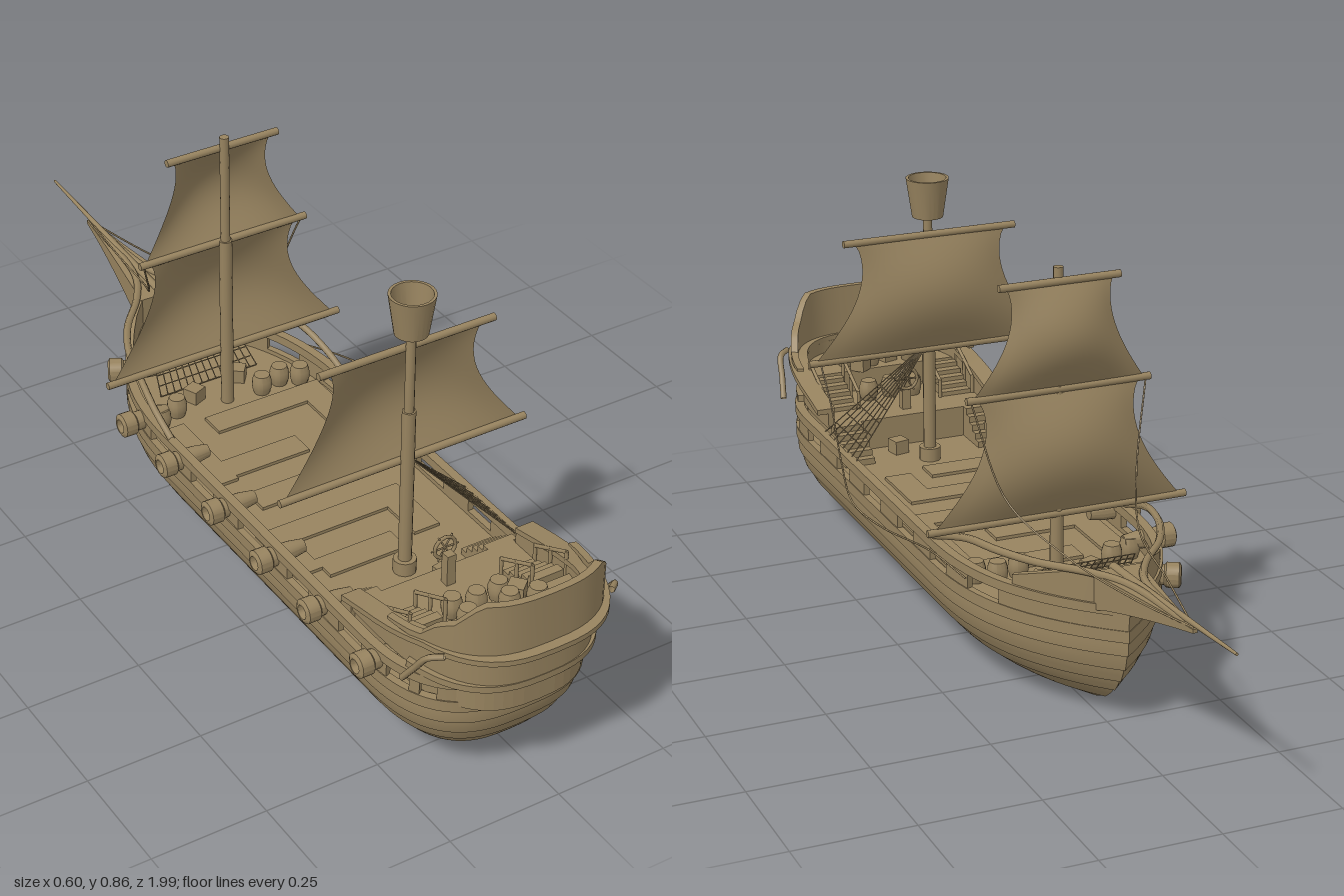
import * as THREE from 'three';
import { toCreasedNormals } from 'three/addons/utils/BufferGeometryUtils.js';

const wood = new THREE.MeshStandardMaterial({ color: 0x97835f, side: THREE.DoubleSide });
wood.name = 'wood';
const V = (x, y, z) => new THREE.Vector3(x, y, z);

// Gun ports along the sides, as z ranges, plus a pair in the rounded stern
const sternZ = w => 0.65 + 0.26 * Math.pow(1 - Math.pow(w / 0.222, 2.8), 1 / 2.8);
const ports = [[-0.33, -0.24], [-0.155, -0.075], [0.02, 0.11], [0.21, 0.31], [0.4, 0.48],
  [0.59, 0.67], [0.75, 0.805], [sternZ(0.192), sternZ(0.172)], [sternZ(0.13), sternZ(0.07)]];

// Stations along the hull, bow to stern
const stations = (() => {
  const s = [...ports.flat(), -0.36, -0.05, 0.1, 0.2, 0.35, 0.5, 0.6, 0.77];
  for (let i = 1; i <= 16; i++) {
    s.push(-0.05 - 0.505 * i / 16);
    s.push(0.65 + 0.26 * Math.pow(Math.sin(i / 16 * Math.PI / 2), 2 / 2.8));
  }
  return s.sort((a, b) => a - b).filter((z, i, a) => !i || z - a[i - 1] > 1e-5);
})();

// A point on the hull outline: d moves it outward, f shrinks it towards the keel, ext lengthens the stern
function hullPoint(z0, side, { y, d = 0, f = 1, ext = 0 }) {
  let w = 1, z = z0;
  if (z0 < -0.05) {
    const t = (-0.05 - z0) / 0.505;
    w = 1 - Math.pow(t, 2.75);
    z = -0.05 - t * (0.28 + 0.225 * f + d);
  } else if (z0 > 0.65) {
    const t = Math.min(1, (z0 - 0.65) / 0.26);
    w = Math.pow(Math.max(0, 1 - Math.pow(t, 2.8)), 1 / 2.8);
    z = 0.65 + t * (0.05 + 0.21 * f + d + ext);
  }
  return V(side * (0.222 + d) * f * w, typeof y === 'function' ? y(z0) : y, z);
}

// Sweeps a profile round the hull outline, leaving gaps where wanted
function sweep(profile, { from = -1, to = 1, closed = true, gaps = [] } = {}) {
  let zs = stations.filter(z => z >= from - 1e-6 && z <= to + 1e-6);
  if (to < 0) zs = zs.reverse();
  const path = [...zs.map(z => [z, 1]), ...zs.slice(0, -1).reverse().map(z => [z, -1])];
  const rings = path.map(([z, s]) => profile.map(p => hullPoint(z, s, p)));
  const solid = path.map((p, i) => {
    if (i === path.length - 1) return false;
    const m = (p[0] + path[i + 1][0]) / 2;
    return !gaps.some(g => m > g[0] && m < g[1]);
  });
  const pos = [];
  const quad = (a, b, c, e) => [a, b, c, a, c, e].forEach(p => pos.push(p.x, p.y, p.z));
  const n = profile.length;
  rings.forEach((r, i) => {
    if (solid[i]) for (let j = 0; j < (closed ? n : n - 1); j++) {
      const k = (j + 1) % n;
      quad(r[j], r[k], rings[i + 1][k], rings[i + 1][j]);
    }
    if (closed && solid[i] !== (i > 0 && solid[i - 1])) quad(r[0], r[1], r[2], r[3]);
  });
  const g = new THREE.BufferGeometry();
  g.setAttribute('position', new THREE.Float32BufferAttribute(pos, 3));
  g.computeVertexNormals();
  return toCreasedNormals(g, 0.5);
}
const wall = (y0, y1, out, inn, ext = 0) =>
  [[y0, out], [y1, out], [y1, inn], [y0, inn]].map(([y, d]) => ({ y, d, ext }));

// Deck slab that follows the hull outline
function deck(y, depth, from, to, d, ext = 0) {
  const zs = stations.filter(z => z >= from - 1e-6 && z <= to + 1e-6);
  const pts = [...zs.map(z => hullPoint(z, 1, { y, d, ext })), ...zs.reverse().map(z => hullPoint(z, -1, { y, d, ext }))];
  const g = new THREE.ExtrudeGeometry(new THREE.Shape(pts.map(p => new THREE.Vector2(p.x, p.z))), { depth, bevelEnabled: false });
  return g.rotateX(Math.PI / 2).translate(0, y, 0);
}

// Linear interpolation in a short table
const ramp = table => z => {
  const i = table.findIndex(p => p[0] >= z);
  if (i < 0) return table[table.length - 1][1];
  if (i === 0) return table[0][1];
  const [a, b] = [table[i - 1], table[i]];
  return a[1] + (b[1] - a[1]) * (z - a[0]) / (b[0] - a[0]);
};

// Square sail with hollow sides, bellied towards the bow
function sail(yTop, yBot, wTop, wBot, z, belly) {
  const g = new THREE.PlaneGeometry(2, 1, 16, 16), p = g.attributes.position;
  for (let i = 0; i < p.count; i++) {
    const u = p.getX(i), v = 0.5 - p.getY(i);
    const w = wTop + (wBot - wTop) * Math.pow(v, 1.5) - 0.17 * wTop * Math.sin(Math.PI * Math.pow(v, 0.8));
    p.setXYZ(i, u * w, yTop + (yBot - yTop) * v, z - belly * Math.sin(Math.PI * v) * (1 - 0.75 * u * u));
  }
  g.computeVertexNormals();
  return g;
}

export function createModel() {
  const model = new THREE.Group(), ship = new THREE.Group();
  ship.name = 'ship';
  ship.position.x = -0.018;
  model.add(ship);
  const add = (name, geo) => {
    const m = new THREE.Mesh(geo, wood);
    m.name = name;
    ship.add(m);
    return m;
  };
  const box = (name, w, h, d, x, y, z) => add(name, new THREE.BoxGeometry(w, h, d).translate(x, y, z));
  const rod = (name, a, b, r1, r2 = r1, sides = 12) => {
    const m = add(name, new THREE.CylinderGeometry(r2, r1, a.distanceTo(b), sides));
    m.position.copy(a).add(b).multiplyScalar(0.5);
    m.quaternion.setFromUnitVectors(V(0, 1, 0), b.clone().sub(a).normalize());
    return m;
  };
  const tube = (name, pts, r) =>
    add(name, new THREE.TubeGeometry(new THREE.CatmullRomCurve3(pts.map(p => V(...p))), 32, r, 6));

  // Lapped hull planking: each plank's lower edge stands proud
  const planks = [0, 0.03, 0.063, 0.093, 0.125, 0.16, 0.19], profile = [];
  for (let i = 0; i < 6; i++) for (let k = 0; k <= 4; k++) {
    const t = k / 4, y = planks[i] + (planks[i + 1] - planks[i]) * (i ? t : t * t);
    profile.push({ y, d: i ? 0.005 * (1 - t) : 0, f: Math.sqrt(1 - ((0.21 - y) / 0.21) ** 2) });
  }
  add('hullPlanking', sweep(profile, { closed: false }));
  add('lowerBulwark', sweep(wall(0.19, 0.215, 0.003, -0.012)));
  add('gunPortBulwark', sweep(wall(0.215, 0.246, 0.001, -0.012), { gaps: ports }));
  add('topRail', sweep(wall(0.246, 0.266, 0.004, -0.016)));
  add('mainDeck', deck(0.205, 0.015, -1, 1, -0.008));

  // Raised deck panels: [x, z, width, depth]
  [[-0.16, -0.06, 0.06, 0.23], [-0.05, 0.015, 0.2, 0.06], [0.06, -0.14, 0.28, 0.06], [0.17, 0.03, 0.06, 0.28],
    [0.0, 0.14, 0.28, 0.06], [-0.03, 0.27, 0.34, 0.06], [0.11, 0.35, 0.06, 0.1], [-0.17, 0.35, 0.06, 0.1], [-0.05, 0.4, 0.18, 0.06]
  ].forEach(([x, z, w, d]) => box('deckPanel', w, 0.008, d, x, 0.208, z));

  // Raised stern with overhanging rail and curved stern board
  const sheer = ramp([[0.6, 0.3], [0.72, 0.328], [0.8, 0.35], [0.91, 0.35]]);
  const board = ramp([[0.72, 0.36], [0.8, 0.37], [0.83, 0.408], [0.858, 0.425], [0.87, 0.45], [0.886, 0.475]]);
  add('poopWall', sweep(wall(0.264, sheer, -0.024, -0.038, 0.075), { from: 0.6 }));
  add('poopRail', sweep(wall(sheer, z => sheer(z) + 0.012, 0.002, -0.04, 0.078), { from: 0.6 }));
  add('poopLip', sweep(wall(0.266, 0.28, -0.01, -0.03, 0.062), { from: 0.77 }));
  add('sternBoard', sweep(wall(0.355, board, -0.001, -0.016, 0.06), { from: 0.72 }));
  add('quarterDeck', deck(0.275, 0.07, 0.59, 1, -0.036, 0.07));
  add('poopDeck', deck(0.325, 0.05, 0.77, 1, -0.036, 0.07));
  for (const s of [-1, 1]) {
    tube('sternBracket', [[s * 0.19, 0.357, 0.9], [s * 0.213, 0.35, 0.88], [s * 0.221, 0.31, 0.85], [s * 0.229, 0.268, 0.82]], 0.007);
    for (let i = 0; i < 5; i++) {
      box('poopStep', 0.07, 0.01 * (i + 1), 0.02, s * 0.14, 0.275 + 0.005 * (i + 1), 0.68 + 0.02 * i);
      box('deckStep', 0.07, 0.014 * (i + 1), 0.018, s * 0.16, 0.205 + 0.007 * (i + 1), 0.51 + 0.018 * i);
    }
    for (const x of [0.1, 0.18]) {
      rod('stairRail', V(s * x, 0.315, 0.67), V(s * x, 0.365, 0.77), 0.004);
      for (let i = 0; i < 3; i++) rod('stairPost', V(s * x, 0.275, 0.67 + i * 0.05), V(s * x, 0.318 + i * 0.024, 0.67 + i * 0.05), 0.004);
    }
  }

  // Steering wheel and its stand
  box('wheelStand', 0.02, 0.07, 0.02, 0, 0.31, 0.635);
  add('steeringWheel', new THREE.TorusGeometry(0.024, 0.004, 6, 16).translate(0, 0.35, 0.62));
  for (let i = 0; i < 3; i++) {
    const a = i * Math.PI / 3, c = Math.cos(a) * 0.032, e = Math.sin(a) * 0.032;
    rod('wheelSpoke', V(-c, 0.35 - e, 0.62), V(c, 0.35 + e, 0.62), 0.002, 0.002, 6);
  }

  // Barrels and crates
  const barrel = [[0, 0], [0.017, 0], [0.021, 0.013], [0.022, 0.022], [0.021, 0.032], [0.017, 0.045], [0, 0.045]];
  const barrelGeo = toCreasedNormals(new THREE.LatheGeometry(barrel.map(p => new THREE.Vector2(...p)), 14), 0.6);
  [[-0.05, 0.275, 0.72], [0.0, 0.275, 0.73], [0.055, 0.275, 0.725], [-0.08, 0.325, 0.815], [0.015, 0.325, 0.815], [0.07, 0.325, 0.83],
    [-0.17, 0.205, -0.2], [-0.12, 0.205, -0.22], [0.08, 0.205, -0.2], [0.13, 0.205, -0.21], [0.17, 0.205, -0.19]
  ].forEach(p => add('barrel', barrelGeo).position.set(...p));
  [[-0.03, 0.34, 0.83, 0.3], [0.05, 0.34, 0.79, 0.7], [-0.06, 0.22, -0.25, 0.4], [0.06, 0.22, -0.27, 0.9], [0.05, 0.22, 0.55, 0.2]].forEach(([x, y, z, a]) => {
    const c = add('crate', new THREE.BoxGeometry(0.034, 0.032, 0.034));
    c.position.set(x, y, z);
    c.rotation.y = a;
  });

  // Bow bulwark, forecastle, sweeping rails, beak and bowsprit
  const bowTop = ramp([[-0.555, 0.328], [-0.46, 0.32], [-0.36, 0.285]]);
  add('bowBulwark', sweep(wall(0.262, bowTop, -0.002, -0.016), { to: -0.36 }));
  add('forecastleDeck', deck(0.262, 0.03, -1, -0.36, -0.012));
  for (const s of [-1, 1]) tube('bowRail', [[s * 0.217, 0.266, -0.07], [s * 0.213, 0.295, -0.15], [s * 0.2, 0.318, -0.23],
    [s * 0.178, 0.325, -0.32], [s * 0.133, 0.327, -0.41], [s * 0.06, 0.329, -0.5], [s * 0.02, 0.331, -0.58], [0, 0.336, -0.8]], 0.008);
  const beak = new THREE.BoxGeometry(1, 1, 1, 1, 1, 6), bp = beak.attributes.position;
  for (let i = 0; i < bp.count; i++) {
    const t = 0.5 - bp.getZ(i), top = 0.325 + 0.013 * t, bottom = 0.245 + 0.085 * Math.pow(t, 0.85);
    bp.setXYZ(i, bp.getX(i) * 2 * (0.05 * Math.pow(1 - t, 1.2) + 0.005), bp.getY(i) > 0 ? top : bottom, -0.49 - 0.345 * t);
  }
  beak.computeVertexNormals();
  add('beak', beak);
  rod('bowsprit', V(0, 0.322, -0.48), V(0, 0.358, -1), 0.01, 0.003);

  // Masts, crow's nest, yards and sails
  rod('mainMastLower', V(0, 0.2, 0.484), V(0, 0.59, 0.484), 0.014);
  rod('mainMastUpper', V(0, 0.59, 0.484), V(0, 0.8, 0.484), 0.01);
  rod('mastFoot', V(0, 0.2, 0.484), V(0, 0.235, 0.484), 0.024);
  const nest = [[0, 0.77], [0.034, 0.77], [0.047, 0.857], [0.041, 0.857], [0.032, 0.78], [0, 0.78]];
  add('crowsNest', toCreasedNormals(new THREE.LatheGeometry(nest.map(p => new THREE.Vector2(...p)), 24), 0.5)).position.z = 0.484;
  rod('foreMastLower', V(0, 0.2, -0.211), V(0, 0.61, -0.211), 0.014);
  rod('foreMastUpper', V(0, 0.61, -0.211), V(0, 0.856, -0.211), 0.01);
  [[0.732, 0.2, 0.473], [0.47, 0.285, 0.473], [0.828, 0.131, -0.219], [0.604, 0.2, -0.219], [0.337, 0.285, -0.219]].forEach(
    ([y, w, z]) => rod('yard', V(-w, y, z), V(w, y, z), 0.008));
  add('mainSail', sail(0.73, 0.472, 0.175, 0.27, 0.47, 0.042));
  add('foreTopSail', sail(0.826, 0.606, 0.115, 0.185, -0.22, 0.045));
  add('foreSail', sail(0.602, 0.339, 0.175, 0.27, -0.22, 0.045));

  // Rigging ropes
  tube('sideRope', [[0.258, 0.465, 0.47], [0.265, 0.4, 0.39], [0.295, 0.325, 0.25], [0.318, 0.284, 0.12], [0.3, 0.272, 0],
    [0.25, 0.268, -0.15], [0.22, 0.247, -0.26]], 0.002);
  tube('rightForestay', [[-0.19, 0.6, -0.22], [-0.12, 0.46, -0.33], [-0.06, 0.385, -0.47], [-0.032, 0.36, -0.65], [0, 0.338, -0.83]], 0.002);
  tube('leftForestay', [[0.19, 0.6, -0.22], [0.15, 0.42, -0.3], [0.09, 0.35, -0.46], [0.045, 0.335, -0.65], [0, 0.338, -0.83]], 0.002);

  // Rope nets: shrouds by the main mast and a climbing net at the forecastle
  const net = (name, a0, a1, b0, b1, cols, rows) => {
    const at = (u, v) => a0.clone().lerp(a1, u).lerp(b0.clone().lerp(b1, u), v);
    for (let i = 0; i <= cols; i++) rod(name, at(i / cols, 0), at(i / cols, 1), 0.0013, 0.0013, 5);
    for (let j = 0; j <= rows; j++) rod(name, at(0, j / rows), at(1, j / rows), 0.0013, 0.0013, 5);
  };
  net('shroudNet', V(0.012, 0.47, 0.478), V(0.012, 0.47, 0.49), V(0.212, 0.265, 0.385), V(0.212, 0.265, 0.585), 7, 9);
  net('forecastleNet', V(-0.12, 0.21, -0.29), V(0.12, 0.21, -0.29), V(-0.1, 0.29, -0.37), V(0.1, 0.29, -0.37), 14, 5);

  // Cannons along the right side, muzzles outward
  const gun = [[0, -0.06], [0.014, -0.06], [0.019, -0.03], [0.021, 0.02], [0.026, 0.024], [0.026, 0.05], [0.019, 0.054], [0.015, 0.054], [0.013, 0.035], [0, 0.035]];
  const gunGeo = toCreasedNormals(new THREE.LatheGeometry(gun.map(p => new THREE.Vector2(...p)), 16), 0.5).rotateZ(Math.PI / 2);
  [[-0.215, 0.72, 0], [-0.215, 0.53, 0], [-0.215, 0.35, 0], [-0.215, 0.16, 0], [-0.215, -0.03, 0], [-0.215, -0.2, 0], [-0.142, -0.375, -0.5]].forEach(([x, z, a]) => {
    const c = add('cannon', gunGeo);
    c.position.set(x, 0.24, z);
    c.rotation.y = a;
  });
  return model;
}
